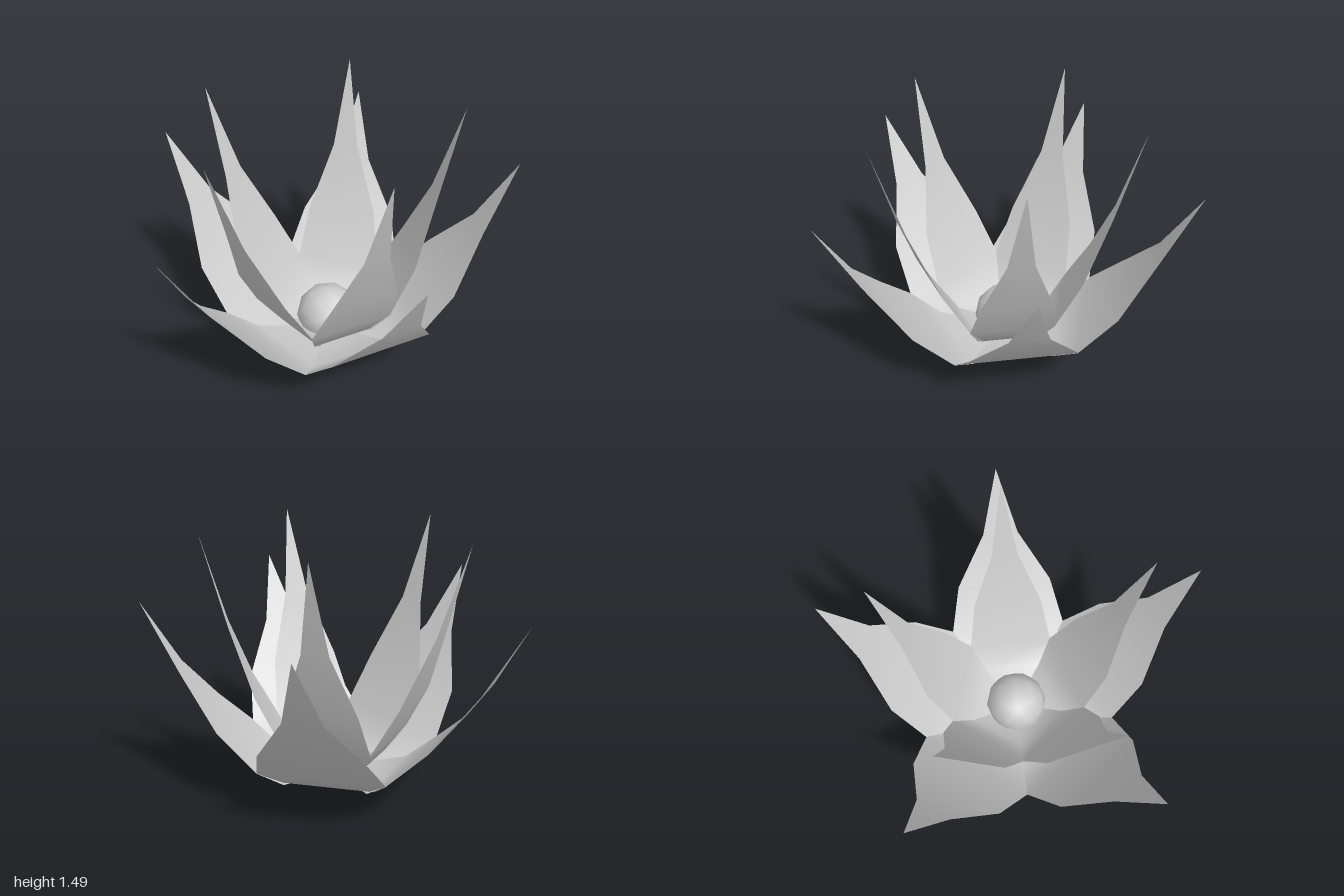
import * as THREE from 'three';

const CENTER_X = -0.1;

// Petal cross-sections, base to tip: distance from the axis, height, half width
const PETAL = [
  [0.09, 0.13, 0.13],
  [0.325, 0.16, 0.262],
  [0.468, 0.28, 0.342],
  [0.668, 0.49, 0.277],
  [0.853, 0.77, 0.1],
  [1.045, 1.14, 0],
];

// Curved sheet pointing along +x, narrowing to a single tip vertex
function petalGeometry(radial, height, width) {
  const positions = [];
  const index = [];
  const last = PETAL.length - 1;
  PETAL.forEach(([r, y, w], i) => {
    positions.push(r * radial, y * height, w * width);
    if (i < last) positions.push(r * radial, y * height, -w * width);
  });
  for (let i = 0; i < last; i++) {
    const a = i * 2;
    index.push(a, a + 2, a + 1);
    if (i < last - 1) index.push(a + 1, a + 2, a + 3);
  }
  const geometry = new THREE.BufferGeometry();
  geometry.setAttribute('position', new THREE.Float32BufferAttribute(positions, 3));
  geometry.setIndex(index);
  geometry.computeVertexNormals();
  return geometry;
}

// Five petals evenly spaced about the axis
function petalRing(name, geometry, material) {
  const ring = new THREE.Group();
  ring.name = name + 's';
  for (let i = 0; i < 5; i++) {
    const petal = new THREE.Mesh(geometry, material);
    petal.name = name;
    petal.rotation.y = (-i * Math.PI * 2) / 5;
    ring.add(petal);
  }
  return ring;
}

export function createModel() {
  const model = new THREE.Group();
  model.name = 'flower';
  const grey = new THREE.MeshStandardMaterial({ color: 0xcccccc, side: THREE.DoubleSide });
  grey.name = 'light grey';

  const flower = new THREE.Group();
  flower.name = 'blossom';
  flower.position.x = CENTER_X;
  model.add(flower);

  // Wide outer petals and taller, narrower inner petals
  flower.add(petalRing('outerPetal', petalGeometry(1, 1, 1), grey));
  flower.add(petalRing('innerPetal', petalGeometry(0.692, 1.307, 0.7), grey));

  // Round faceted bulb in the middle, shaded smooth
  const bulbGeometry = new THREE.IcosahedronGeometry(0.178, 1);
  const bulb = new THREE.Mesh(bulbGeometry, grey);
  bulb.name = 'bulb';
  bulb.position.y = 0.22;
  flower.add(bulb);

  // Five-sided pointed base with corners between the petals
  const baseGeometry = new THREE.ConeGeometry(0.18, 0.12, 5, 1, true, Math.PI / 2);
  baseGeometry.rotateX(Math.PI);
  baseGeometry.rotateY(Math.PI);
  const base = new THREE.Mesh(baseGeometry, grey);
  base.name = 'base';
  base.position.y = 0.06;
  // Turn one corner toward -x
  const p = baseGeometry.attributes.position;
  let corner = 0;
  for (let i = 0; i < p.count; i++) {
    if (Math.hypot(p.getX(i), p.getZ(i)) > 0.1) {
      corner = Math.atan2(p.getZ(i), p.getX(i));
      break;
    }
  }
  base.rotation.y = corner - Math.PI;
  flower.add(base);

  return model;
}
